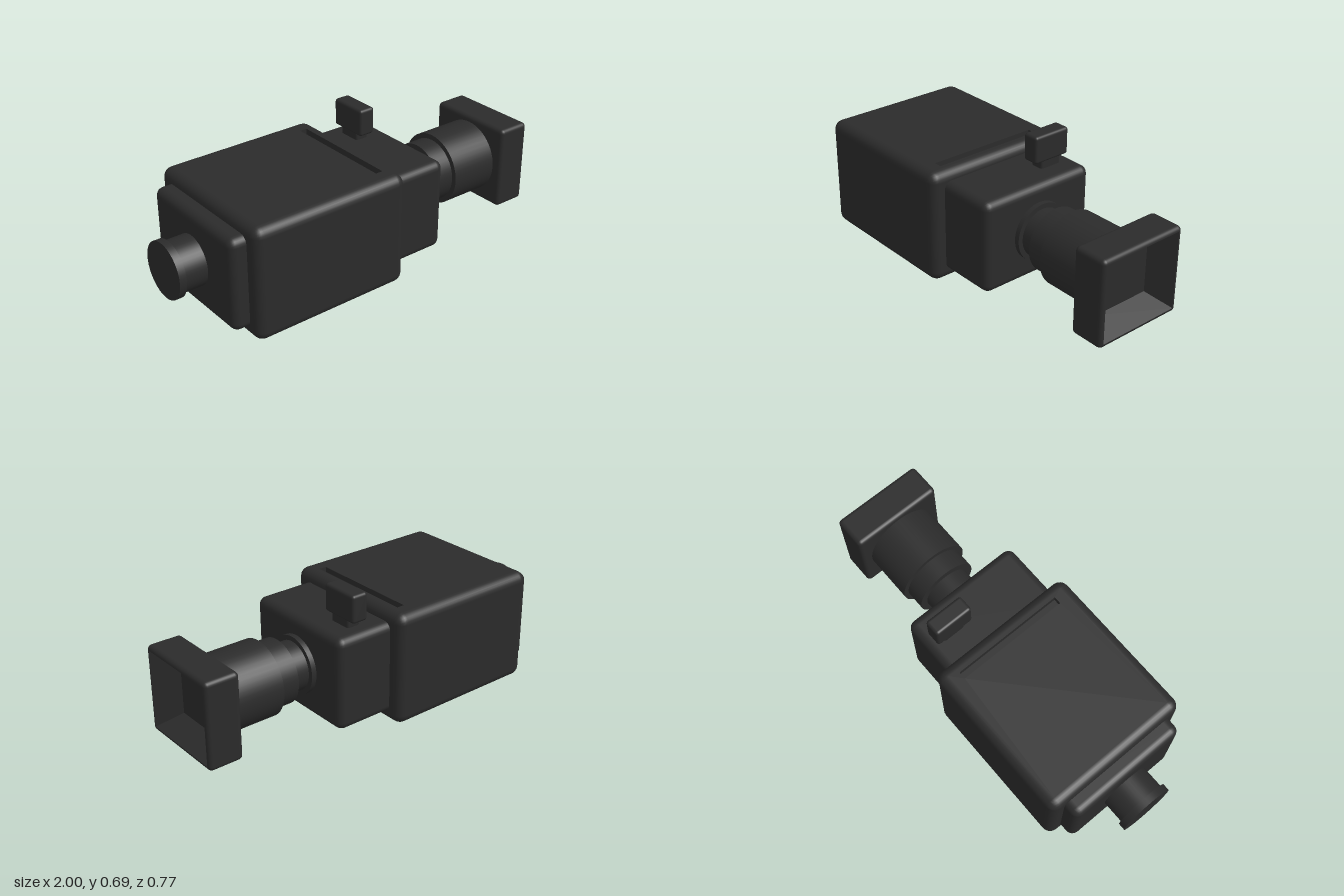
import * as THREE from 'three';
import { mergeGeometries } from 'three/addons/utils/BufferGeometryUtils.js';
import { RoundedBoxGeometry } from 'three/addons/geometries/RoundedBoxGeometry.js';

const AXIS_Y = 0.284; // height of the optical axis

// Open-topped pocket seen from inside; its floor may be smaller than its mouth
function pocketGeometry(mouth, floor, depth) {
  const g = new THREE.BoxGeometry(mouth[0], depth, mouth[1]);
  const p = g.attributes.position;
  for (let i = 0; i < p.count; i++) {
    if (p.getY(i) < 0) {
      p.setX(i, Math.sign(p.getX(i)) * floor[0] / 2);
      p.setZ(i, Math.sign(p.getZ(i)) * floor[1] / 2);
    }
  }
  const src = Array.from(g.index.array);
  const index = [];
  for (let i = 0; i < src.length; i += 3) {
    if (i >= 12 && i < 18) continue; // leave the mouth open
    index.push(src[i], src[i + 2], src[i + 1]);
  }
  g.setIndex(index);
  const out = g.toNonIndexed();
  out.computeVertexNormals();
  return out;
}

// Rounded box with its flat top replaced by a pocket and the lip around it
function pocketBox(w, h, d, r, mouth, floor, depth, offsetX = 0) {
  let box = new RoundedBoxGeometry(w, h, d, 3, r);
  if (box.index) box = box.toNonIndexed();
  const p = box.attributes.position;
  const n = box.attributes.normal;
  const pos = [];
  const nor = [];
  for (let i = 0; i < p.count; i += 3) {
    if ([0, 1, 2].every((k) => p.getY(i + k) > h / 2 - 1e-5)) continue;
    for (let k = i; k < i + 3; k++) {
      pos.push(p.getX(k), p.getY(k), p.getZ(k));
      nor.push(n.getX(k), n.getY(k), n.getZ(k));
    }
  }
  const shell = new THREE.BufferGeometry();
  shell.setAttribute('position', new THREE.Float32BufferAttribute(pos, 3));
  shell.setAttribute('normal', new THREE.Float32BufferAttribute(nor, 3));

  const parts = [shell, pocketGeometry(mouth, floor, depth).translate(offsetX, h / 2 - depth / 2, 0)];
  const a = w / 2 - r;
  const b = d / 2 - r;
  if (mouth[0] / 2 < a - 1e-4) {
    const rect = (cx, x, y) => [[-x, -y], [x, -y], [x, y], [-x, y]]
      .map(([u, v]) => new THREE.Vector2(cx + u, v));
    const lip = new THREE.Shape(rect(0, a, b));
    lip.holes.push(new THREE.Path(rect(offsetX, mouth[0] / 2, mouth[1] / 2)));
    parts.push(new THREE.ShapeGeometry(lip).toNonIndexed()
      .rotateX(-Math.PI / 2).translate(0, h / 2, 0));
  }
  parts.forEach((g) => g.deleteAttribute('uv'));
  return mergeGeometries(parts);
}

export function createModel() {
  const group = new THREE.Group();
  const material = new THREE.MeshStandardMaterial({ color: 0x2b2b2b });

  const add = (name, geometry, x, y, z = 0) => {
    const mesh = new THREE.Mesh(geometry, material);
    mesh.name = name;
    mesh.position.set(x, y, z);
    group.add(mesh);
    return mesh;
  };
  const box = (name, [x0, x1], [y0, y1], [z0, z1], r) => add(
    name, new RoundedBoxGeometry(x1 - x0, y1 - y0, z1 - z0, 3, r),
    (x0 + x1) / 2, (y0 + y1) / 2, (z0 + z1) / 2);
  const barrel = (name, x0, x1, r) => add(
    name, new THREE.CylinderGeometry(r, r, x1 - x0, 48).rotateZ(Math.PI / 2),
    (x0 + x1) / 2, AXIS_Y);

  // Housing: wide shell with a slot across its top, and a smaller block at each end
  add('mainBody', pocketBox(0.83, 0.567, 0.77, 0.048, [0.038, 0.575], [0.038, 0.575], 0.03, 0.33),
    -0.355, 0.2835);
  box('rearBlock', [-0.85, -0.7], [0.052, 0.516], [-0.315, 0.315], 0.04);
  box('frontBlock', [-0.05, 0.355], [0.052, 0.516], [-0.315, 0.315], 0.04);

  // Eyepiece at the rear
  barrel('eyepieceTube', -0.97, -0.83, 0.123);
  barrel('eyepieceRim', -1, -0.965, 0.138);

  // Stepped lens barrel
  barrel('lensMount', 0.34, 0.38, 0.146);
  barrel('lensNeck', 0.37, 0.47, 0.122);
  barrel('focusRing', 0.465, 0.57, 0.16);
  barrel('lensBarrel', 0.565, 0.835, 0.186);

  // Rectangular hood with a tapered opening
  add('lensHood', pocketBox(0.432, 0.175, 0.473, 0.022, [0.388, 0.429], [0.266, 0.294], 0.113)
    .rotateZ(-Math.PI / 2), 0.9125, AXIS_Y);

  // Small block on a stem above the front block
  box('topStem', [0.17, 0.24], [0.49, 0.57], [-0.232, -0.115], 0.012);
  box('topBlock', [0.16, 0.246], [0.55, 0.688], [-0.276, -0.073], 0.015);

  return group;
}
